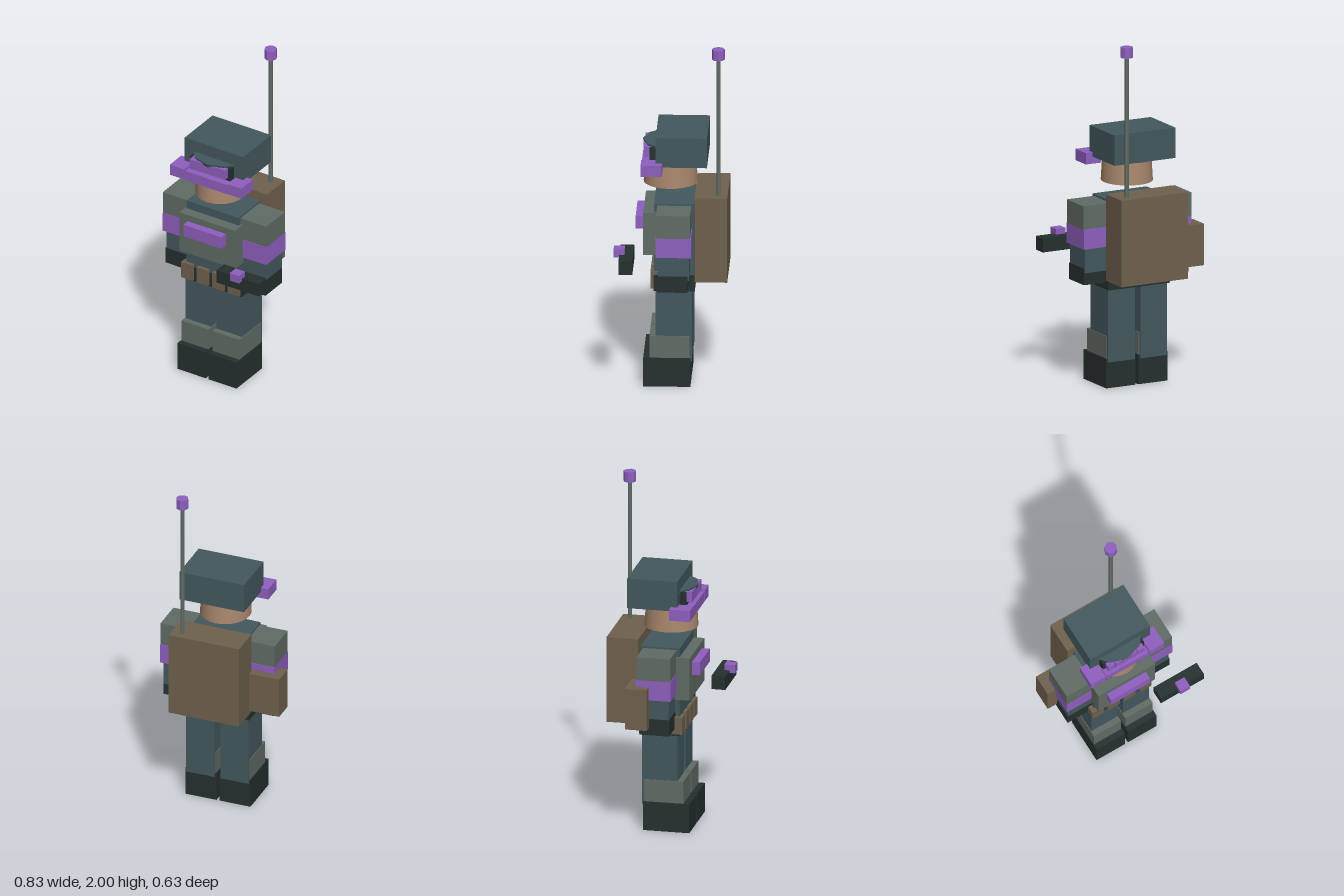
import * as THREE from 'three';
import { ConvexGeometry } from 'three/addons/geometries/ConvexGeometry.js';

const mat = (color, flatShading = true) => new THREE.MeshStandardMaterial({ color, flatShading });
const teal = mat(0x43585e), grey = mat(0x616b65), purple = mat(0x8f5fbf);
const dark = mat(0x25302f), brown = mat(0x6f614d), skin = mat(0xa9876d, false);

export function createModel() {
  const root = new THREE.Group();
  const mid = -0.018; // centre line of the body

  const add = (parent, name, geometry, material) => {
    const mesh = new THREE.Mesh(geometry, material);
    mesh.name = name;
    parent.add(mesh);
    return mesh;
  };
  // Box given by its [min, max] along each axis
  const box = (parent, name, material, x, y, z) => {
    const mesh = add(parent, name, new THREE.BoxGeometry(x[1] - x[0], y[1] - y[0], z[1] - z[0]), material);
    mesh.position.set((x[0] + x[1]) / 2, (y[0] + y[1]) / 2, (z[0] + z[1]) / 2);
    return mesh;
  };
  const cylinder = (parent, name, material, rTop, rBottom, y, x, z, sides) => {
    const mesh = add(parent, name, new THREE.CylinderGeometry(rTop, rBottom, y[1] - y[0], sides), material);
    mesh.position.set(x, (y[0] + y[1]) / 2, z);
    return mesh;
  };
  const group = (name) => {
    const g = new THREE.Group();
    g.name = name;
    root.add(g);
    return g;
  };

  // Legs and arms, mirrored about the body's centre line
  for (const [label, s] of [['right', -1], ['left', 1]]) {
    const span = (a, b) => [mid + s * a, mid + s * b].sort((p, q) => p - q);
    const leg = group(label + 'Leg');
    box(leg, 'trouser', teal, span(0.018, 0.189), [0.15, 0.6], [-0.118, 0.085]);
    box(leg, 'shinGuard', grey, span(0.014, 0.193), [0.15, 0.3], [-0.105, 0.12]);
    box(leg, 'boot', dark, span(0.009, 0.197), [0, 0.17], [-0.11, 0.155]);

    const arm = group(label + 'Arm');
    box(arm, 'sleeve', teal, span(0.175, 0.33), [0.68, 1.06], [-0.107, 0.067]);
    box(arm, 'shoulderPad', grey, span(0.17, 0.346), [0.935, 1.07], [-0.115, 0.077]);
    box(arm, 'armBand', purple, span(0.17, 0.346), [0.82, 0.935], [-0.119, 0.08]);
    box(arm, 'glove', dark, span(0.17, 0.335), [0.61, 0.705], [-0.1, 0.07]);
  }

  // Torso, chest plate and belt
  const torso = group('torso');
  box(torso, 'jacket', teal, [-0.193, 0.155], [0.65, 1.08], [-0.13, 0.095]);
  box(torso, 'chestPlate', grey, [-0.203, 0.17], [0.78, 1.03], [0.06, 0.155]);
  box(torso, 'chestPanel', purple, [-0.147, 0.108], [0.915, 0.99], [0.13, 0.2]);
  box(torso, 'belt', dark, [-0.217, 0.178], [0.57, 0.66], [-0.135, 0.098]);
  for (let i = 0; i < 4; i++) {
    const x = -0.18 + i * 0.104;
    box(torso, 'beltPouch', brown, [x - 0.038, x + 0.038], [0.58, 0.68], [0.04, 0.115]);
  }

  // Backpack, side pouch and antenna
  const pack = group('backpack');
  box(pack, 'packBody', brown, [-0.231, 0.195], [0.63, 1.13], [-0.318, -0.135]);
  box(pack, 'sidePouch', brown, [-0.414, -0.23], [0.655, 0.895], [-0.17, -0.045]);
  cylinder(pack, 'antenna', grey, 0.012, 0.012, [1.1, 1.95], 0.134, -0.266, 8);
  cylinder(pack, 'antennaTip', purple, 0.036, 0.036, [1.94, 2], 0.134, -0.266, 8);

  // Head and helmet
  const head = group('head');
  cylinder(head, 'face', skin, 0.136, 0.145, [1.16, 1.31], mid, 0.008, 24).scale.z = 1.05;
  cylinder(head, 'helmetRim', teal, 0.155, 0.155, [1.295, 1.31], mid, -0.02, 16);
  box(head, 'helmet', teal, [-0.214, 0.178], [1.305, 1.48], [-0.203, 0.085]);
  box(head, 'visorBacking', dark, [-0.152, 0.116], [1.3, 1.4], [0.05, 0.122]);

  // Pointed prow, leaning back towards its lower edge
  const prow = [];
  for (const [y, k, reach] of [[1.41, 1, 0.08], [1.305, 0.8, 0.035]]) {
    for (const [x, f] of [[-0.14, 0], [-0.095, 0.62], [0, 1], [0.095, 0.62], [0.14, 0]]) {
      prow.push(new THREE.Vector3(mid + x * k, y, 0.085 + f * reach));
    }
    prow.push(new THREE.Vector3(mid, y, 0.06));
  }
  add(head, 'visorProw', new ConvexGeometry(prow), teal);
  for (let i = -2; i <= 2; i++) {
    const x = mid + i * 0.048;
    box(head, 'visorSlat', purple, [x - 0.022, x + 0.022], [1.34, 1.4], [0.1, 0.154]);
  }

  // Goggles: front bar and side blocks
  box(head, 'goggleBar', purple, [-0.157, 0.122], [1.26, 1.32], [0.11, 0.165]);
  for (const [a, b] of [[-0.259, -0.162], [0.126, 0.221]]) {
    box(head, 'goggleSide', purple, [a, b], [1.264, 1.33], [0.049, 0.168]);
  }

  // Weapon held across the front
  const weapon = group('weapon');
  box(weapon, 'barrel', dark, [0.129, 0.411], [0.745, 0.825], [0.206, 0.284]);
  box(weapon, 'sight', purple, [0.239, 0.301], [0.81, 0.858], [0.254, 0.316]);

  return root;
}
